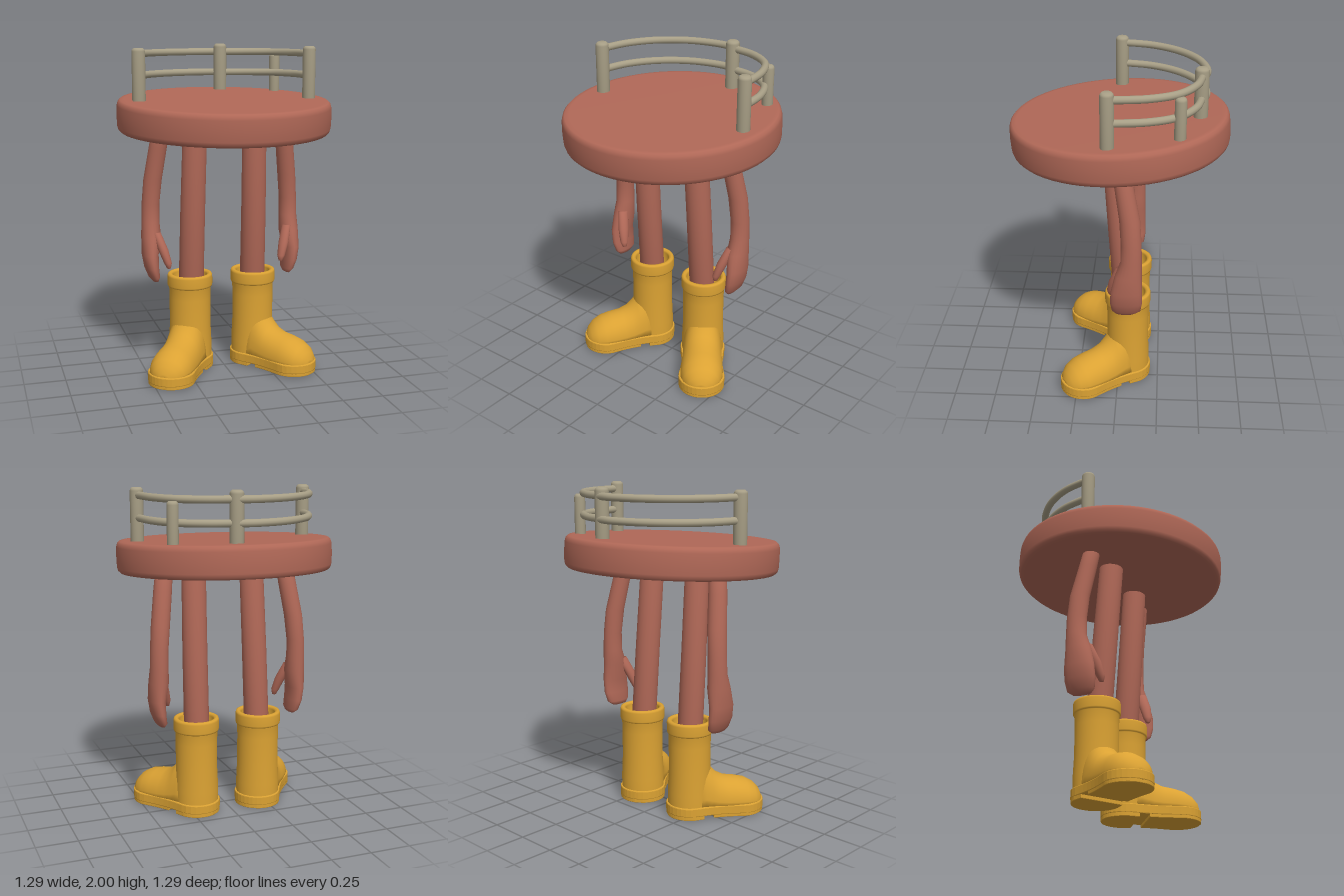
import * as THREE from 'three';

const paint = (name, color) => {
  const m = new THREE.MeshStandardMaterial({ color });
  m.name = name;
  return m;
};

function add(parent, name, geometry, material) {
  const mesh = new THREE.Mesh(geometry, material);
  mesh.name = name;
  parent.add(mesh);
  return mesh;
}

// Skin over a list of closed rings, capped at both ends
function loft(rings) {
  const n = rings[0].length, pos = [], index = [];
  rings.forEach((r) => r.forEach((p) => pos.push(...p)));
  for (let i = 0; i < rings.length - 1; i++) {
    for (let j = 0; j < n; j++) {
      const a = i * n + j, b = i * n + (j + 1) % n;
      index.push(a, b, a + n, b, b + n, a + n);
    }
  }
  [0, rings.length - 1].forEach((i, end) => {
    const c = pos.length / 3;
    pos.push(...[0, 1, 2].map((k) => rings[i].reduce((s, p) => s + p[k], 0) / n));
    for (let j = 0; j < n; j++) {
      const a = i * n + j, b = i * n + (j + 1) % n;
      index.push(...(end ? [a, b, c] : [b, a, c]));
    }
  });
  const g = new THREE.BufferGeometry();
  g.setAttribute('position', new THREE.Float32BufferAttribute(pos, 3));
  g.setIndex(index);
  g.computeVertexNormals();
  return g;
}

// Limb from [x, y, z, radiusX, radiusZ] sections listed from top to bottom
function limb(sections, side) {
  return loft(sections.map(([x, y, z, rx, rz = rx]) =>
    Array.from({ length: 20 }, (_, j) => {
      const t = j / 20 * Math.PI * 2;
      return [side * x + rx * Math.cos(t), y, z + rz * Math.sin(t)];
    })));
}

const lathe = (pts, seg) =>
  new THREE.LatheGeometry(pts.map((p) => new THREE.Vector2(...p)), seg);

// Half width of the sole at a distance z in front of the ankle
function soleWidth(z) {
  const r = 0.138, toe = 0.322;
  if (z < 0) return Math.sqrt(Math.max(0, r * r - z * z));
  if (z > toe) return Math.sqrt(Math.max(0, r * r - (z - toe) ** 2));
  return r - 0.014 * Math.sin(Math.PI * z / toe);
}

// Slice of the sole between z0 and z1, from y = top down to y = bottom
function soleSlab(z0, z1, top, bottom, grow) {
  const n = 24, right = [], left = [];
  for (let i = 0; i <= n; i++) {
    const z = z0 + (z1 - z0) * (0.5 - 0.5 * Math.cos(Math.PI * i / n));
    const w = Math.max(soleWidth(z), 0.004);
    right.push(new THREE.Vector2(w, z));
    left.unshift(new THREE.Vector2(-w, z));
  }
  const g = new THREE.ExtrudeGeometry(new THREE.Shape([...right, ...left]), {
    depth: top - bottom - 2 * grow, bevelSize: grow, bevelThickness: grow, bevelSegments: 2,
  });
  return g.rotateX(Math.PI / 2).translate(0, top - grow, 0);
}

function makeBoot(material) {
  const boot = new THREE.Group();
  add(boot, 'sole', soleSlab(-0.138, 0.46, 0.078, 0.022, 0.006), material);
  add(boot, 'heel', soleSlab(-0.136, 0.06, 0.04, 0, 0.004), material);
  add(boot, 'tread', soleSlab(0.13, 0.458, 0.04, 0.004, 0.004), material);
  // Shaft with a thick rolled cuff, open at the top
  add(boot, 'shaft', lathe([[0.134, 0.06], [0.134, 0.15], [0.128, 0.28], [0.128, 0.45], [0.13, 0.522],
    [0.137, 0.525], [0.14, 0.535], [0.14, 0.59], [0.136, 0.602], [0.125, 0.606], [0.112, 0.602],
    [0.106, 0.59], [0.104, 0.5], [0.06, 0.48]], 32), material);
  // Rounded foot: arches of [z, half width, top height] from ankle to toe
  const arches = [[0, 0.125, 0.37], [0.08, 0.125, 0.36], [0.125, 0.125, 0.3], [0.165, 0.127, 0.255],
    [0.22, 0.131, 0.228], [0.29, 0.134, 0.217], [0.35, 0.13, 0.202], [0.4, 0.112, 0.174],
    [0.435, 0.08, 0.138], [0.453, 0.04, 0.095]];
  add(boot, 'foot', loft(arches.map(([z, w, h]) =>
    Array.from({ length: 21 }, (_, j) => {
      const t = j / 20 * Math.PI;
      return [w * Math.cos(t), 0.06 + (h - 0.06) * Math.pow(Math.sin(t) + 1e-9, 0.85), z];
    }))), material);
  return boot;
}

export function createModel() {
  const clay = paint('clay red', 0xb06857);
  const yellow = paint('boot yellow', 0xdba233);
  const stone = paint('rail grey', 0xa89f86);
  const model = new THREE.Group();
  model.name = 'walkingDisc';

  // Thick round body, tipped slightly forward
  const disc = add(model, 'discBody', lathe([[0, -0.095], [0.6, -0.095], [0.625, -0.092], [0.637, -0.08],
    [0.643, -0.06], [0.645, 0], [0.643, 0.06], [0.637, 0.08], [0.625, 0.092], [0.6, 0.095], [0, 0.095]], 64), clay);
  disc.position.y = 1.59;
  disc.rotation.x = 0.053;

  // Railing posts: [x, z, radius, top]
  const railing = new THREE.Group();
  railing.name = 'railing';
  model.add(railing);
  const posts = [[-0.52, 0.01, 0.04, 1.99], [0.105, -0.465, 0.041, 2], [0.435, -0.345, 0.033, 1.94],
    [0.525, 0.045, 0.039, 1.995]];
  for (const [x, z, r, top] of posts) {
    const post = add(railing, 'post', lathe([[0, 1.62], [r, 1.62], [r, top - 0.02], [r * 0.9, top - 0.008],
      [r * 0.65, top], [0, top]], 20), stone);
    post.position.set(x, 0, z);
  }
  // Two curved rails, each in two spans
  const spans = [
    [[-0.52, 0.01], [-0.475, -0.17], [-0.37, -0.33], [-0.2, -0.45], [0, -0.498], [0.105, -0.485]],
    [[0.105, -0.47], [0.27, -0.43], [0.415, -0.33], [0.495, -0.17], [0.525, 0.045]],
  ];
  for (const y of [1.95, 1.82]) {
    for (const span of spans) {
      const path = new THREE.CatmullRomCurve3(span.map(([x, z]) => new THREE.Vector3(x, y, z)));
      add(railing, 'rail', new THREE.TubeGeometry(path, 32, 0.022, 12), stone);
    }
  }

  // Limbs and boots, mirrored
  for (const side of [1, -1]) {
    const label = side > 0 ? 'left' : 'right';
    add(model, label + 'Leg', limb([[0.186, 1.56, 0.025, 0.073], [0.195, 1, -0.015, 0.076],
      [0.2, 0.45, -0.055, 0.078]], side), clay);

    const arm = new THREE.Group();
    arm.name = label + 'Arm';
    model.add(arm);
    add(arm, 'armAndPalm', limb([[0.38, 1.56, -0.015, 0.05], [0.402, 1.4, -0.04, 0.055],
      [0.43, 1.2, -0.075, 0.056, 0.06], [0.443, 1.05, -0.085, 0.054, 0.06], [0.445, 0.94, -0.085, 0.055, 0.062],
      [0.445, 0.85, -0.07, 0.06, 0.078], [0.455, 0.74, -0.058, 0.05, 0.092], [0.448, 0.66, -0.056, 0.043, 0.095],
      [0.433, 0.6, -0.056, 0.034, 0.085], [0.427, 0.575, -0.05, 0.018, 0.055]], side), clay);
    add(arm, 'thumb', limb([[0.42, 0.88, -0.03, 0.026, 0.035], [0.388, 0.78, 0.01, 0.031, 0.036],
      [0.364, 0.7, 0.034, 0.024, 0.027], [0.359, 0.667, 0.038, 0.012, 0.014]], side), clay);

    const boot = makeBoot(yellow);
    boot.name = label + 'Boot';
    boot.position.set(side * 0.205, 0, -0.058);
    boot.rotation.y = side * 0.6;
    model.add(boot);
  }
  return model;
}
